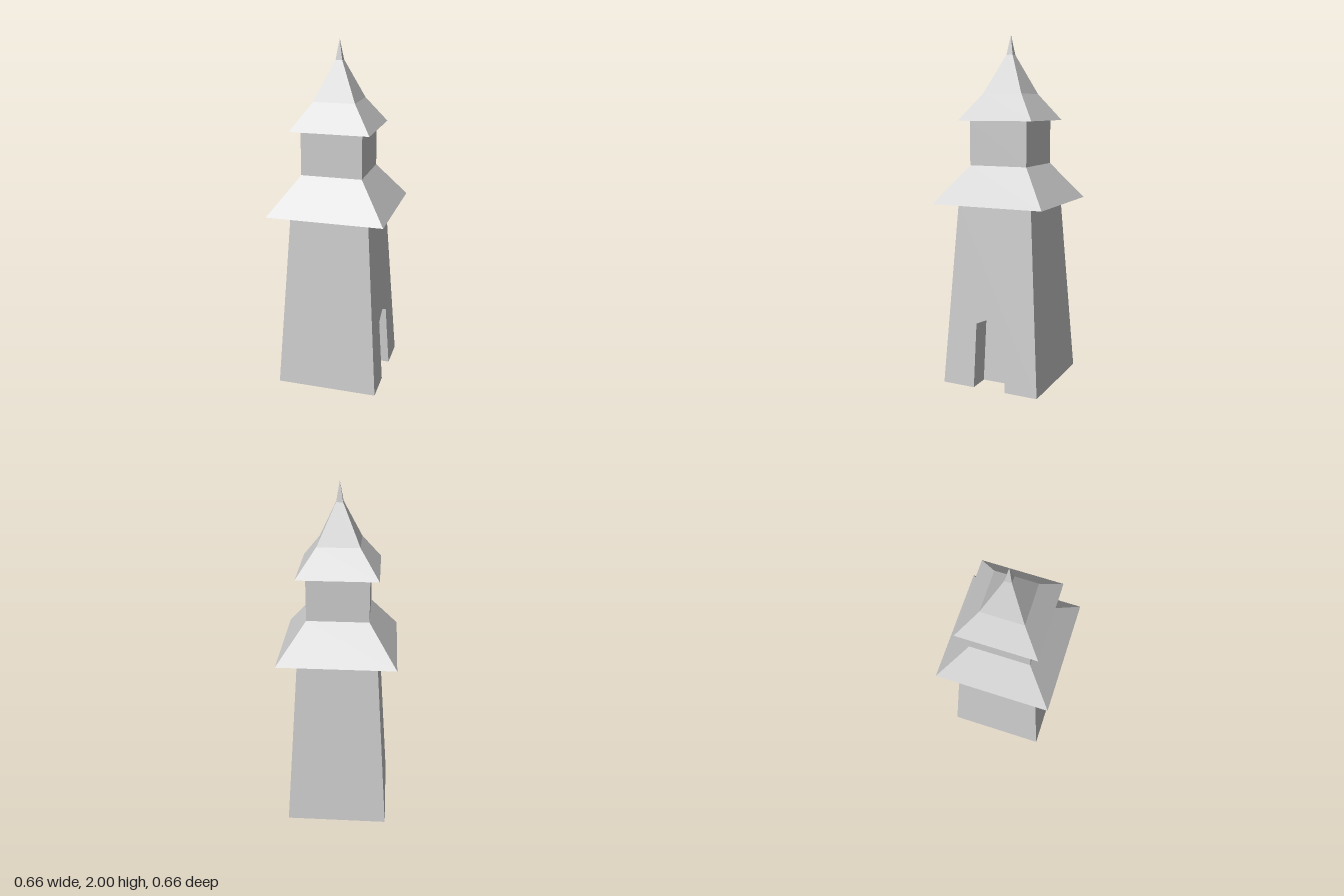
import * as THREE from 'three';

const material = new THREE.MeshStandardMaterial({ color: 0xcccccc, flatShading: true });

// Tower proportions
const BASE = 0.294, TOP = 0.224, HEIGHT = 1.055, NICHE = 0.125;
const halfWidth = (y) => BASE + (TOP - BASE) * (y / HEIGHT);

function addMesh(group, name, geometry) {
  const mesh = new THREE.Mesh(geometry, material);
  mesh.name = name;
  group.add(mesh);
}

// Square-plan solid from [half width, height] pairs, listed bottom to top
function squareLathe(profile) {
  const points = profile.map(([w, y]) => new THREE.Vector2(w * Math.SQRT2, y));
  const geometry = new THREE.LatheGeometry(points, 4, Math.PI / 4).toNonIndexed();
  geometry.computeVertexNormals();
  return geometry;
}

// Extrude an outline along x, between two x positions that follow the wall slope
function taperedSlab(outline, xBack, xFront) {
  const shape = new THREE.Shape(outline.map(([x, y]) => new THREE.Vector2(x, y)));
  const geometry = new THREE.ExtrudeGeometry(shape, { depth: 1, bevelEnabled: false });
  geometry.rotateY(Math.PI / 2);
  const p = geometry.attributes.position;
  for (let i = 0; i < p.count; i++) {
    const y = p.getY(i);
    p.setX(i, THREE.MathUtils.lerp(xBack(y), xFront(y), p.getX(i)));
  }
  geometry.computeVertexNormals();
  return geometry;
}

export function createModel() {
  const model = new THREE.Group();
  model.name = 'tower';

  // Tapered tower: a solid core plus a doorway wall with a pointed opening on +x
  const wall = [[BASE, 0], [TOP, HEIGHT], [-TOP, HEIGHT], [-BASE, 0]];
  const door = [[-0.098, 0], [-0.091, 0.373], [0, 0.413], [0.091, 0.373], [0.098, 0]];
  const nicheBack = (y) => halfWidth(y) - NICHE;
  addMesh(model, 'towerCore', taperedSlab(wall, (y) => -halfWidth(y), nicheBack));
  addMesh(model, 'doorwayWall', taperedSlab([...wall, ...door], nicheBack, halfWidth));

  // Lower skirt roof with flat underside
  addMesh(model, 'lowerRoof', squareLathe([[0, 1.055], [0.332, 1.055], [0.174, 1.268], [0, 1.268]]));

  // Upper room
  addMesh(model, 'upperRoom', squareLathe([[0.174, 1.268], [0.174, 1.52]]));

  // Spire in three slopes
  addMesh(model, 'spire', squareLathe([[0, 1.52], [0.225, 1.52], [0.118, 1.67], [0.019, 1.888], [0, 2]]));

  return model;
}
